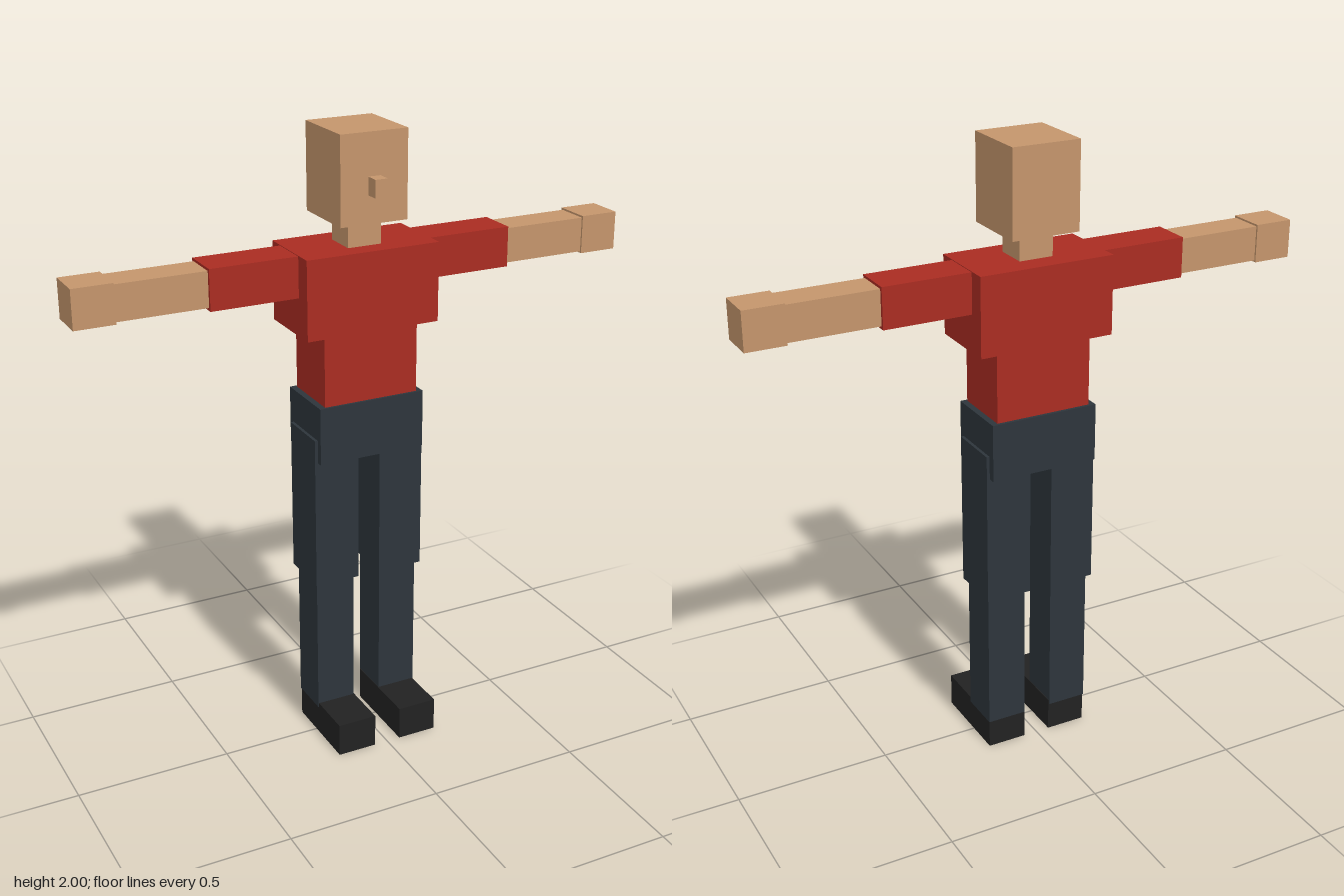
import * as THREE from 'three';

export function createModel() {
  const model = new THREE.Group();
  model.name = 'blockFigure';

  const material = (name, color) => {
    const m = new THREE.MeshStandardMaterial({ color });
    m.name = name;
    return m;
  };
  const skin = material('skin', 0xc4956c);
  const shirt = material('redShirt', 0xa92c22);
  const trousers = material('darkTrousers', 0x2d353b);
  const shoes = material('blackShoes', 0x222222);

  // A box given by its extents along each axis
  const block = (name, mat, [x0, x1], [y0, y1], [z0, z1]) => {
    const mesh = new THREE.Mesh(new THREE.BoxGeometry(x1 - x0, y1 - y0, z1 - z0), mat);
    mesh.position.set((x0 + x1) / 2, (y0 + y1) / 2, (z0 + z1) / 2);
    mesh.name = name;
    model.add(mesh);
  };
  // The same box on both sides of the body
  const pair = (name, mat, [x0, x1], y, z) => {
    block('left' + name, mat, [x0, x1], y, z);
    block('right' + name, mat, [-x1, -x0], y, z);
  };

  // Head
  block('head', skin, [-0.11, 0.11], [1.728, 2], [-0.16, 0.07]);
  block('nose', skin, [-0.02, 0.02], [1.815, 1.87], [0.06, 0.115]);
  block('neck', skin, [-0.055, 0.055], [1.64, 1.735], [-0.1, 0.007]);

  // Torso
  block('chest', shirt, [-0.22, 0.22], [1.395, 1.645], [-0.173, 0.07]);
  block('abdomen', shirt, [-0.157, 0.157], [1.165, 1.4], [-0.15, 0.052]);
  block('pelvis', trousers, [-0.177, 0.177], [0.985, 1.17], [-0.16, 0.06]);

  // Arms, held straight out
  pair('UpperArm', shirt, [0.2, 0.5], [1.515, 1.643], [-0.118, 0.012]);
  pair('Forearm', skin, [0.49, 0.79], [1.524, 1.635], [-0.108, 0.002]);
  pair('Hand', skin, [0.782, 0.908], [1.519, 1.641], [-0.114, 0.008]);

  // Legs
  pair('Thigh', trousers, [0.037, 0.187], [0.56, 1.06], [-0.136, 0.039]);
  pair('Shin', trousers, [0.047, 0.177], [0.095, 0.57], [-0.118, 0.02]);
  pair('Shoe', shoes, [0.045, 0.175], [0, 0.11], [-0.115, 0.173]);

  return model;
}
